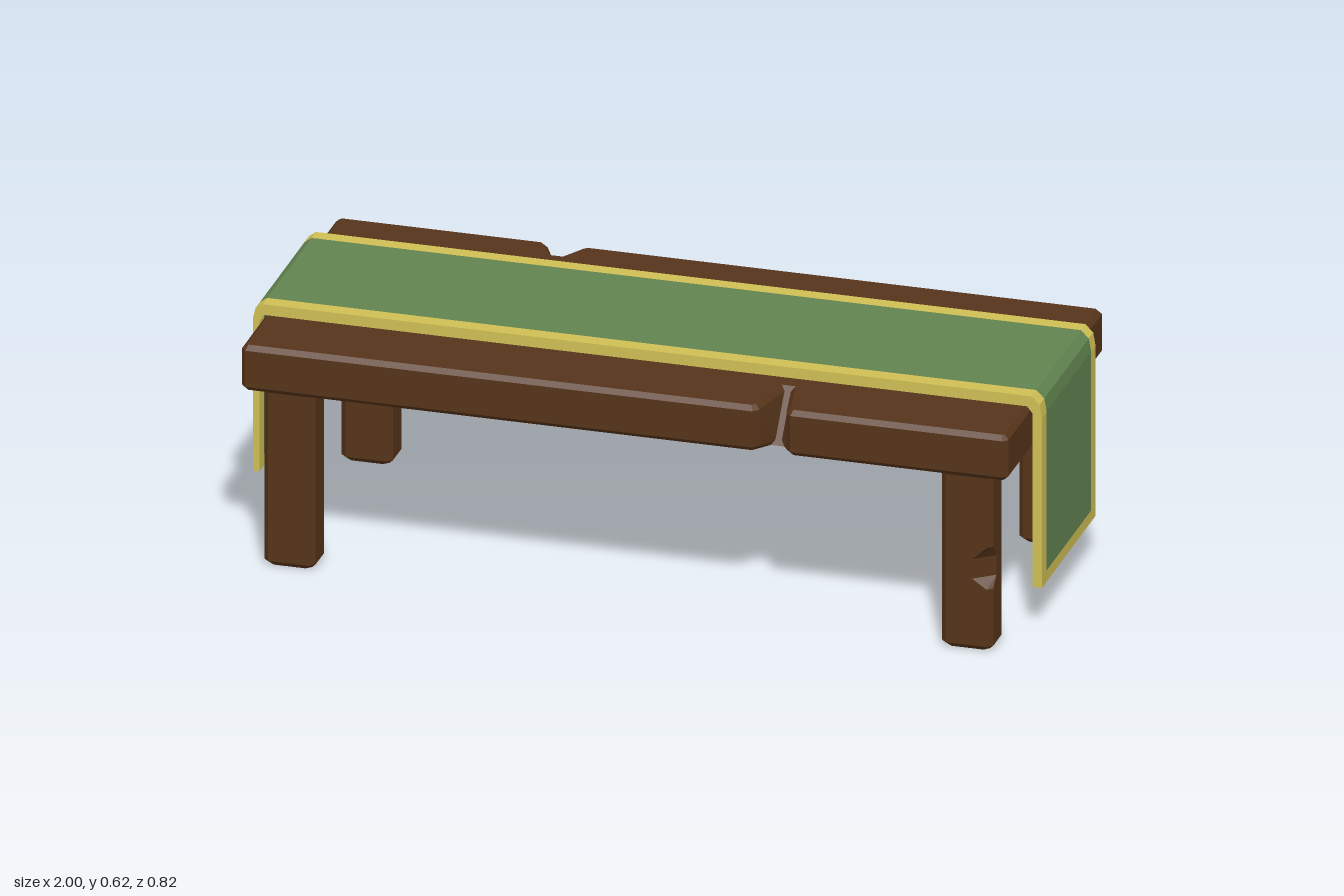
import * as THREE from 'three';

const mat = (color) => new THREE.MeshStandardMaterial({ color, flatShading: true, side: THREE.DoubleSide });

function addMesh(parent, geometry, material, name) {
  const mesh = new THREE.Mesh(geometry, material);
  mesh.name = name;
  parent.add(mesh);
  return mesh;
}

const shapeOf = (points) => new THREE.Shape(points.map(([x, y]) => new THREE.Vector2(x, y)));

// Bevelled plank with a V-shaped chip in the front and in the back edge
function plankGeometry() {
  const x0 = -0.975, x1 = 0.968, z = 0.41, c = 0.012, top = 0.59, bottom = 0.47;
  const chips = [
    { x: -0.395, zTop: -0.33, zBottom: -0.365 },
    { x: 0.37, zTop: 0.26, zBottom: 0.355 },
  ];
  const [back, front] = chips;
  const shape = shapeOf([
    [x0 + c, -z], [back.x - 0.055, -z], [back.x - 0.042, -z + 0.012],
    [back.x - 0.01, -0.345], [back.x + 0.01, -0.345],
    [back.x + 0.042, -z + 0.012], [back.x + 0.055, -z], [x1 - c, -z],
    [x1, -z + c], [x1, z - c], [x1 - c, z],
    [front.x + 0.048, z], [front.x + 0.034, z - 0.015],
    [front.x + 0.008, 0.3], [front.x - 0.008, 0.3],
    [front.x - 0.034, z - 0.015], [front.x - 0.048, z], [x0 + c, z],
    [x0, z - c], [x0, -z + c],
  ]);
  const geo = new THREE.ExtrudeGeometry(shape, {
    depth: top - bottom - 2 * c, bevelThickness: c, bevelSize: c, bevelOffset: -c, bevelSegments: 1,
  });
  geo.rotateX(Math.PI / 2).translate(0, top - c, 0);
  // Slant the inner end of each chip: deeper at the top than at the bottom
  const p = geo.attributes.position;
  for (let i = 0; i < p.count; i++) {
    for (const chip of chips) {
      const inside = Math.abs(p.getX(i) - chip.x) < 0.027 && Math.abs(p.getZ(i)) < 0.375
        && p.getZ(i) * chip.zTop > 0;
      if (!inside) continue;
      const t = (p.getY(i) - bottom) / (top - bottom);
      p.setZ(i, THREE.MathUtils.lerp(chip.zBottom, chip.zTop, t));
    }
  }
  geo.computeVertexNormals();
  return geo;
}

// Leg lofted from eight-sided rings; a chip widens the chamfer of one corner
function legGeometry(chipped) {
  const w = 0.065, d = 0.0485, c = 0.013;
  const rings = [[0, -0.012, 0], [0.013, 0, 0]];
  if (chipped) rings.push([0.165, 0, 0], [0.19, 0, 1], [0.242, 0, 1], [0.275, 0, 0]);
  rings.push([0.46, 0, 0], [0.476, 0.015, 0]);
  const positions = [], index = [];
  for (const [y, grow, chip] of rings) {
    const a = w + grow, b = d + grow;
    const cx = chip ? 0.05 : c, cz = chip ? 0.04 : c;
    const ring = [
      [a, b - cz], [a, -b + c], [a - c, -b], [-a + c, -b],
      [-a, -b + c], [-a, b - c], [-a + c, b], [a - cx, b],
    ];
    for (const [x, z] of ring) positions.push(x, y, z);
  }
  for (let r = 0; r < rings.length - 1; r++) {
    for (let i = 0; i < 8; i++) {
      const a = r * 8 + i, b = r * 8 + (i + 1) % 8;
      index.push(a, b, b + 8, a, b + 8, a + 8);
    }
  }
  const last = (rings.length - 1) * 8;
  for (let i = 1; i < 7; i++) {
    index.push(0, i + 1, i);
    index.push(last, last + i, last + i + 1);
  }
  const geo = new THREE.BufferGeometry();
  geo.setAttribute('position', new THREE.Float32BufferAttribute(positions, 3));
  geo.setIndex(index);
  const flat = geo.toNonIndexed();
  flat.computeVertexNormals();
  return flat;
}

// Strip of cloth over the plank, hanging down to the given heights
function clothStrip(leftEnd, rightEnd, z0, z1) {
  const shape = shapeOf([
    [-1, leftEnd], [-0.984, leftEnd], [-0.984, 0.575], [-0.972, 0.592],
    [0.962, 0.592], [0.976, 0.575], [0.976, rightEnd], [1, rightEnd],
    [1, 0.565], [0.994, 0.6], [0.974, 0.62], [-0.976, 0.62], [-0.994, 0.607], [-1, 0.58],
  ]);
  return new THREE.ExtrudeGeometry(shape, { depth: z1 - z0, bevelEnabled: false }).translate(0, 0, z0);
}

export function createModel() {
  const model = new THREE.Group();
  model.name = 'benchTable';
  const wood = mat(0x56341a), green = mat(0x628450), yellow = mat(0xcfc055);

  addMesh(model, plankGeometry(), wood, 'tabletop');

  // Four legs, the front left one chipped
  const legs = new THREE.Group();
  legs.name = 'legs';
  model.add(legs);
  for (const [x, sideName] of [[-0.863, 'Right'], [0.855, 'Left']]) {
    for (const [z, endName] of [[0.33, 'front'], [-0.328, 'back']]) {
      const chipped = x > 0 && z > 0;
      addMesh(legs, legGeometry(chipped), wood, `${endName}${sideName}Leg`).position.set(x, 0, z);
    }
  }

  // Cloth runner with a border all round
  const runner = new THREE.Group();
  runner.name = 'runner';
  model.add(runner);
  const left = 0.175, right = 0.115, hem = 0.03;
  const zBack = -0.236, zFront = 0.22, zIn0 = -0.198, zIn1 = 0.18;
  addMesh(runner, clothStrip(left + hem, right + hem, zIn0, zIn1), green, 'runnerCloth');
  addMesh(runner, clothStrip(left, right, zBack, zIn0), yellow, 'backBorder');
  addMesh(runner, clothStrip(left, right, zIn1, zFront), yellow, 'frontBorder');
  for (const [x, width, y, name] of [[-0.992, 0.016, left, 'rightHem'], [0.988, 0.024, right, 'leftHem']]) {
    addMesh(runner, new THREE.BoxGeometry(width, hem, zIn1 - zIn0), yellow, name)
      .position.set(x, y + hem / 2, (zIn0 + zIn1) / 2);
  }
  return model;
}
